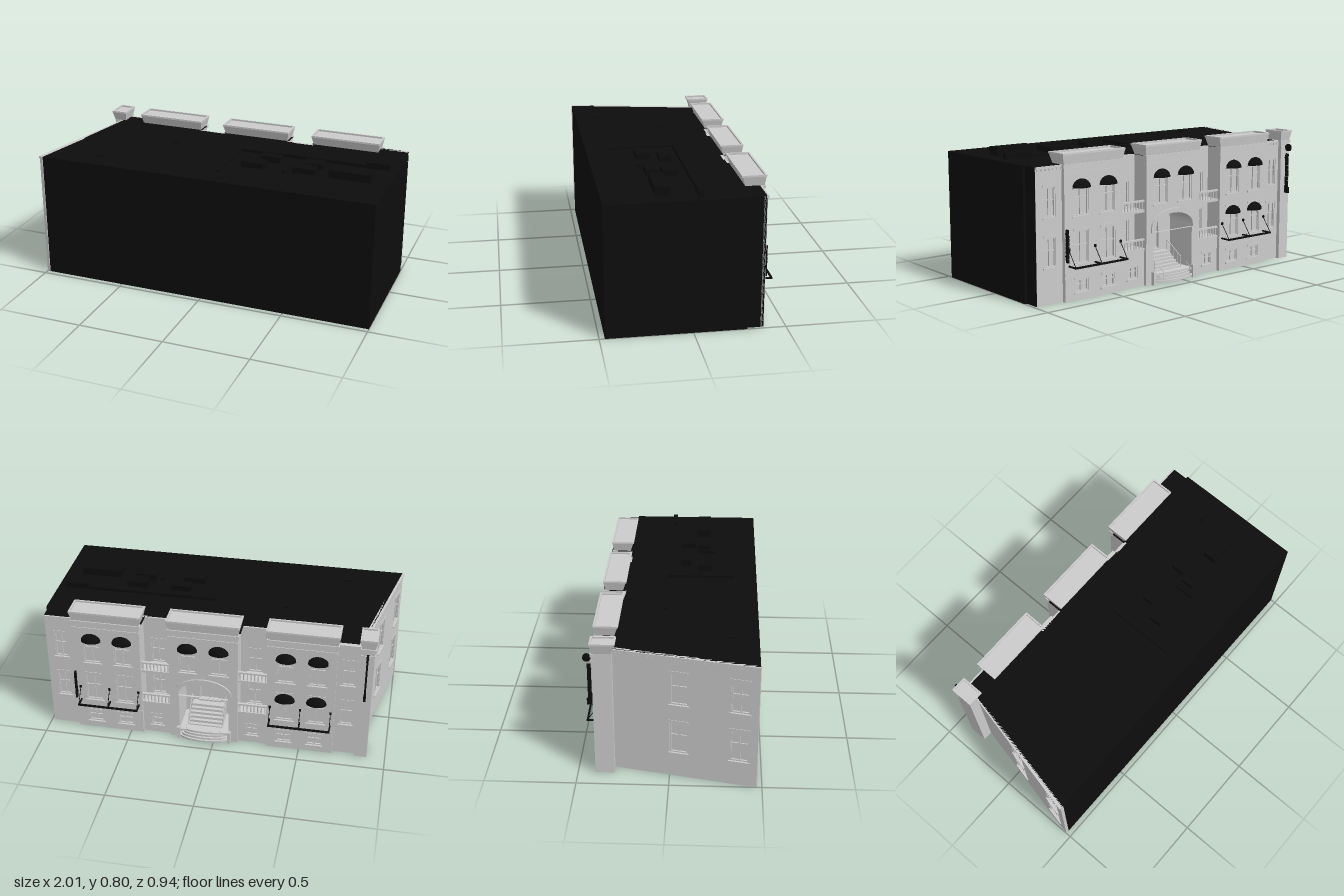
import * as THREE from 'three';

const grey = new THREE.MeshStandardMaterial({ color: 0xcccccc, side: THREE.DoubleSide });
const black = new THREE.MeshStandardMaterial({ color: 0x0d0d0d, side: THREE.DoubleSide });
const ROOF = 0.74;

function add(parent, name, geometry, material = grey) {
  const m = new THREE.Mesh(geometry, material);
  m.name = name;
  parent.add(m);
  return m;
}

// Box given by its limits
function box(parent, name, x0, x1, y0, y1, z0, z1, material = grey) {
  const m = add(parent, name, new THREE.BoxGeometry(x1 - x0, y1 - y0, z1 - z0), material);
  m.position.set((x0 + x1) / 2, (y0 + y1) / 2, (z0 + z1) / 2);
  return m;
}

// Round bar between two points
function rod(parent, name, a, b, r, material = grey) {
  const path = new THREE.LineCurve3(new THREE.Vector3(...a), new THREE.Vector3(...b));
  return add(parent, name, new THREE.TubeGeometry(path, 1, r, 6), material);
}

// Outline with a flat or bowed top; rise is the height of the bow
function opening(Type, x, y, w, h, rise = 0) {
  const s = new Type(), r = w / 2;
  s.moveTo(x - r, y).lineTo(x + r, y).lineTo(x + r, y + h - rise);
  for (let i = 1; i < 12 && rise; i++) {
    const a = (i / 12) * Math.PI;
    s.lineTo(x + r * Math.cos(a), y + h - rise + rise * Math.sin(a));
  }
  s.lineTo(x - r, y + h - rise).closePath();
  return s;
}

function extrude(shape, depth) {
  return new THREE.ExtrudeGeometry(shape, { depth, bevelEnabled: false });
}

// Frame, pane, sash bars, sill and lintel, facing +z on the plane z
function addWindow(parent, z, { x, y, w, h, rise = 0 }) {
  const g = new THREE.Group();
  g.name = 'window';
  parent.add(g);
  const frame = opening(THREE.Shape, x, y, w, h, rise);
  frame.holes.push(opening(THREE.Path, x, y + 0.007, w - 0.014, h - 0.014, rise * 0.9));
  add(g, 'windowFrame', extrude(frame, 0.01)).position.z = z - 0.014;
  add(g, 'windowPane', new THREE.ShapeGeometry(opening(THREE.Shape, x, y, w, h, rise))).position.z = z - 0.016;
  box(g, 'mullion', x - 0.004, x + 0.004, y, y + h - 0.003, z - 0.015, z - 0.007);
  box(g, 'sashRail', x - w / 2, x + w / 2, y + h * 0.55, y + h * 0.55 + 0.006, z - 0.015, z - 0.008);
  box(g, 'sill', x - w / 2 - 0.008, x + w / 2 + 0.008, y - 0.01, y, z - 0.004, z + 0.007);
  if (rise) {
    const trim = opening(THREE.Shape, x, y + h - rise, w + 0.02, rise + 0.01, rise + 0.009);
    trim.holes.push(opening(THREE.Path, x, y + h - rise + 0.0005, w, rise, rise));
    add(g, 'archTrim', extrude(trim, 0.008)).position.z = z - 0.003;
  } else box(g, 'lintel', x - w / 2 - 0.005, x + w / 2 + 0.005, y + h, y + h + 0.013, z - 0.004, z + 0.003);
}

// Wall slab whose windows are cut through it
function panel(parent, name, x0, x1, y0, y1, z, windows = [], holes = []) {
  const s = opening(THREE.Shape, (x0 + x1) / 2, y0, x1 - x0, y1 - y0);
  windows.forEach((w) => s.holes.push(opening(THREE.Path, w.x, w.y, w.w, w.h, w.rise)));
  s.holes.push(...holes);
  add(parent, name, extrude(s, 0.018)).position.z = z - 0.018;
  windows.forEach((w) => addWindow(parent, z, w));
}

// Row of small corbels under a roof edge
function corbels(parent, x0, x1, z) {
  box(parent, 'eavesBand', x0, x1, ROOF - 0.012, ROOF, z - 0.005, z + 0.008);
  for (let x = x0 + 0.01; x < x1 - 0.008; x += 0.025) box(parent, 'corbel', x, x + 0.01, ROOF - 0.024, ROOF - 0.012, z - 0.002, z + 0.006);
}

// Flared block with a rimmed, sunken top
function cornice(parent, x0, x1) {
  const flare = box(parent, 'cornice', x0, x1, ROOF, 0.79, 0.285, 0.412);
  const p = flare.geometry.attributes.position;
  for (let i = 0; i < p.count; i++) if (p.getY(i) < 0) {
    p.setX(i, p.getX(i) - Math.sign(p.getX(i)) * 0.011);
    p.setZ(i, p.getZ(i) + (p.getZ(i) > 0 ? -0.007 : 0.016));
  }
  flare.geometry.computeVertexNormals();
  const cx = (x0 + x1) / 2;
  const rim = opening(THREE.Shape, cx, -0.415, x1 - x0, 0.135);
  rim.holes.push(opening(THREE.Path, cx, -0.405, x1 - x0 - 0.02, 0.115));
  const m = add(parent, 'corniceRim', extrude(rim, 0.01));
  m.rotation.x = -Math.PI / 2;
  m.position.y = 0.79;
  box(parent, 'corniceMoulding', x0 + 0.005, x1 - 0.005, 0.722, ROOF, 0.39, 0.411);
  box(parent, 'lowerMoulding', x0 + 0.009, x1 - 0.009, 0.69, 0.697, 0.39, 0.409);
}

function awning(parent, x, y) {
  const m = add(parent, 'awning', new THREE.SphereGeometry(1, 16, 6, 0, Math.PI, 0, Math.PI / 2), black);
  m.scale.set(0.058, 0.047, 0.038);
  m.position.set(x, y, 0.407);
}

// Hung frame with slanting stays
function hangingBar(parent, cx) {
  box(parent, 'barFront', cx - 0.178, cx + 0.178, 0.19, 0.2, 0.462, 0.471, black);
  for (const d of [-0.174, 0, 0.174]) {
    box(parent, 'barArm', cx + d - 0.004, cx + d + 0.004, 0.191, 0.199, 0.4, 0.465, black);
    rod(parent, 'barStay', [cx + d, 0.2, 0.466], [cx + d, 0.285, 0.405], 0.002, black);
    box(parent, 'stayPlate', cx + d - 0.006, cx + d + 0.006, 0.278, 0.292, 0.403, 0.412, black);
  }
}

// Tower shell: front slab, two sides, cornice
function tower(parent, name, x0, x1, windows, holes) {
  const g = new THREE.Group();
  g.name = name;
  parent.add(g);
  const a = x0 + 0.011, b = x1 - 0.011;
  panel(g, 'towerFront', a, b, 0, ROOF, 0.405, windows, holes);
  for (const x of [a, b - 0.012]) box(g, 'towerSide', x, x + 0.012, 0, ROOF, 0.3, 0.387);
  cornice(g, x0, x1);
  return g;
}

// Open bay with two balconies between towers
function balconyBay(parent, x0, x1) {
  const g = new THREE.Group(), c = (x0 + x1) / 2;
  g.name = 'balconyBay';
  parent.add(g);
  panel(g, 'bayBackWall', x0, x1, 0, ROOF, 0.3, [0.222, 0.442].map((y) => ({ x: c, y, w: 0.08, h: 0.15 })));
  panel(g, 'bayBase', x0, x1, 0, 0.2, 0.385, [{ x: c, y: 0.05, w: 0.07, h: 0.07 }]);
  for (const y of [0.2, 0.42]) {
    box(g, 'balconyFloor', x0, x1, y, y + 0.015, 0.295, 0.39);
    box(g, 'balconyRail', x0, x1, y + 0.06, y + 0.07, 0.375, 0.39);
    for (let i = 0; i < 8; i++) rod(g, 'baluster', [x0 + (x1 - x0) * (i + 0.5) / 8, y + 0.015, 0.382], [x0 + (x1 - x0) * (i + 0.5) / 8, y + 0.06, 0.382], 0.004);
  }
}

// Arched porch with inner flight and rounded outer steps
function entrance(parent, c) {
  const g = new THREE.Group();
  g.name = 'entrance';
  parent.add(g);
  const vault = opening(THREE.Shape, c, 0, 0.31, 0.41, 0.08);
  vault.holes.push(opening(THREE.Path, c, 0.002, 0.29, 0.398, 0.08));
  add(g, 'porchVault', extrude(vault, 0.19)).position.z = 0.2;
  const trim = opening(THREE.Shape, c, 0.3, 0.33, 0.125, 0.1);
  trim.holes.push(opening(THREE.Path, c, 0.301, 0.29, 0.098, 0.08));
  add(g, 'archMoulding', extrude(trim, 0.014)).position.z = 0.4;
  panel(g, 'porchBackWall', c - 0.15, c + 0.15, 0, 0.4, 0.215, [{ x: c, y: 0.15, w: 0.12, h: 0.17 }]);
  for (let i = 0; i < 6; i++) box(g, 'innerStep', c - 0.1, c + 0.1, 0.05, 0.065 + i * 0.015, 0.21, 0.36 - i * 0.02);
  box(g, 'porchFloor', c - 0.145, c + 0.145, 0.045, 0.058, 0.21, 0.41);
  for (let i = 0; i < 4; i++) {
    const s = add(g, 'roundedStep', new THREE.CylinderGeometry(1, 1, 0.0125, 32, 1, false, -Math.PI / 2, Math.PI));
    s.scale.set(0.145 - i * 0.013, 1, 0.05 - i * 0.011);
    s.position.set(c, 0.0165 + i * 0.0125, 0.404);
  }
  for (const s of [-1, 1]) {
    box(g, 'stairPier', c + s * 0.15 - 0.01, c + s * 0.15 + 0.01, 0, 0.075, 0.4, 0.425);
    const x = c + s * 0.1;
    rod(g, 'handrail', [x, 0.1, 0.405], [x, 0.076, 0.437], 0.002);
    rod(g, 'handrailPost', [x, 0.076, 0.437], [x, 0.02, 0.437], 0.002);
    rod(g, 'innerHandrail', [x, 0.12, 0.36], [x, 0.2, 0.24], 0.003);
    for (let i = 0; i < 5; i++) rod(g, 'railPost', [x, 0.06, 0.36 - i * 0.03], [x, 0.12 + i * 0.02, 0.36 - i * 0.03], 0.002);
  }
}

// Stack of tiles standing out from the wall
function bladeSign(parent, x, y0, y1, n) {
  const step = (y1 - y0) / n;
  for (let i = 0; i < n; i++) box(parent, 'bladeTile', x - 0.005, x + 0.005, y0 + i * step, y0 + (i + 0.88) * step, 0.413, 0.433, black);
  rod(parent, 'bladePole', [x, y0, 0.418], [x, y1, 0.418], 0.004, black);
  for (const y of [y0 + 0.03, y1 - 0.03]) box(parent, 'bladeBracket', x - 0.003, x + 0.003, y, y + 0.006, 0.395, 0.416, black);
}

export function createModel() {
  const model = new THREE.Group();
  model.name = 'building';

  // Roof and plain walls; the underside is open
  const outline = [[-1, 0.47], [1, 0.47], [1, -0.29], [0.985, -0.29], [0.985, -0.38], [0.415, -0.38], [0.415, -0.29], [0.27, -0.29],
    [0.27, -0.38], [-0.15, -0.38], [-0.15, -0.29], [-0.295, -0.29], [-0.295, -0.38], [-0.82, -0.38]];
  const roof = add(model, 'roof', new THREE.ShapeGeometry(new THREE.Shape(outline.map(([x, z]) => new THREE.Vector2(x, -z)))), black);
  roof.rotation.x = -Math.PI / 2;
  roof.position.y = ROOF;
  for (let i = 0; i < 4; i++) {
    const [ax, az] = outline[i], [bx, bz] = outline[i + 1];
    const wall = add(model, 'plainWall', new THREE.PlaneGeometry(Math.hypot(bx - ax, bz - az), ROOF), black);
    wall.position.set((ax + bx) / 2, ROOF / 2, (az + bz) / 2);
    wall.rotation.y = Math.atan2(-(bz - az), bx - ax);
  }

  // Rooftop plant: x0, x1, z0, z1, top
  for (const [x0, x1, z0, z1, top] of [[0.05, 0.95, -0.055, -0.035, 0.757], [0.05, 0.065, -0.05, 0.335, 0.755], [0.22, 0.34, 0.02, 0.08, 0.773],
    [0.48, 0.6, 0.02, 0.1, 0.773], [0.15, 0.28, 0.125, 0.205, 0.773], [0.45, 0.58, 0.12, 0.19, 0.773], [0.66, 0.9, 0.11, 0.19, 0.786],
    [0.82, 0.95, -0.055, -0.03, 0.775], [0.4, 0.42, 0.12, 0.225, 0.76], [-0.37, -0.34, -0.06, -0.03, 0.75], [-0.7, -0.65, 0.31, 0.35, 0.75]]) {
    box(model, 'rooftopUnit', x0, x1, ROOF - 0.002, top, z0, z1, black);
  }

  // Slanted side wall
  const side = new THREE.Group();
  side.name = 'slantedWall';
  side.position.set(-0.82, 0, -0.38);
  side.rotation.y = Math.atan2(-0.85, -0.18);
  model.add(side);
  const sideWindows = [];
  for (const x of [0.44, 0.77]) for (const y of [0.15, 0.45]) sideWindows.push({ x, y, w: 0.1, h: 0.19 });
  panel(side, 'sideWall', 0, 0.869, 0, ROOF, 0, sideWindows);
  corbels(side, 0.08, 0.869, 0);

  // Street side, built facing +z and turned round
  const front = new THREE.Group();
  front.name = 'streetSide';
  front.rotation.y = Math.PI;
  model.add(front);
  for (const [x0, x1] of [[-0.985, -0.81], [0.69, 0.83]]) {
    const x = (x0 + x1) / 2;
    panel(front, 'endWall', x0, x1, 0, ROOF, 0.382, [0.2, 0.47].map((y) => ({ x, y, w: 0.075, h: 0.16 })));
    corbels(front, x0, x1, 0.382);
  }
  const upper = (x) => ({ x, y: 0.46, w: 0.1, h: 0.18, rise: 0.035 });
  for (const [name, c, x0, x1] of [['leftTower', -0.62, -0.83, -0.415], ['rightTower', 0.5, 0.295, 0.705]]) {
    const windows = [-0.09, 0.09].flatMap((d) => [upper(c + d), { x: c + d, y: 0.2, w: 0.1, h: 0.18 }, { x: c + d, y: 0.045, w: 0.09, h: 0.07 }]);
    const t = tower(front, name, x0, x1, windows);
    box(t, 'stringCourse', x0 + 0.011, x1 - 0.011, 0.145, 0.155, 0.4, 0.409);
    hangingBar(t, c);
    for (const d of [-0.09, 0.09]) {
      awning(t, c + d, 0.612);
      if (c > 0) awning(t, c + d, 0.34);
    }
  }
  const c = -0.06;
  const middle = tower(front, 'middleTower', -0.27, 0.15, [upper(c - 0.09), upper(c + 0.09)], [opening(THREE.Path, c, 0.002, 0.29, 0.398, 0.08)]);
  for (const d of [-0.09, 0.09]) awning(middle, c + d, 0.612);
  entrance(middle, c);
  balconyBay(front, -0.426, -0.259);
  balconyBay(front, 0.139, 0.306);

  // Corner pillar and blade signs
  box(front, 'cornerPillar', 0.821, 0.894, 0, ROOF, 0.301, 0.405);
  cornice(front, 0.81, 0.905);
  bladeSign(front, -0.815, 0.22, 0.4, 8);
  bladeSign(front, 0.857, 0.42, 0.66, 10);
  box(front, 'bladeFoot', 0.85, 0.864, 0.415, 0.45, 0.413, 0.44, black);
  const cap = add(front, 'bladeCap', new THREE.CylinderGeometry(0.022, 0.022, 0.012, 20), black);
  cap.rotation.z = Math.PI / 2;
  cap.position.set(0.857, 0.697, 0.433);
  return model;
}
